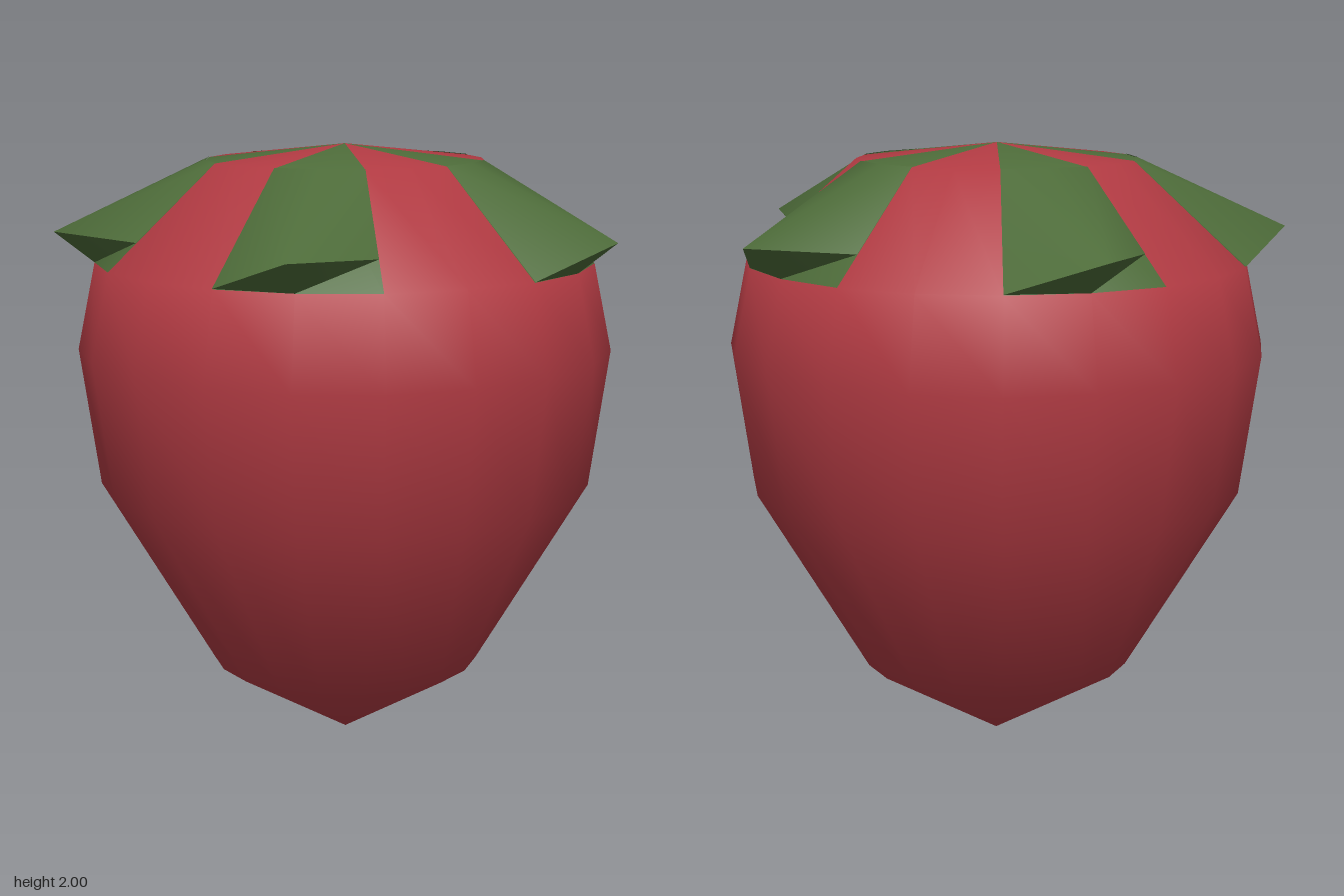
import * as THREE from 'three';

const SEG = 20;
const STEP = (Math.PI * 2) / SEG;

// Point on the fruit at ring radius r, height y and lathe angle a
const polar = (r, y, a) => [r * Math.sin(a), y, r * Math.cos(a)];

export function createModel() {
  const red = new THREE.MeshStandardMaterial({ color: 0xb03a42 });
  red.name = 'berryRed';
  const green = new THREE.MeshStandardMaterial({ color: 0x4d6b39, side: THREE.DoubleSide });
  green.name = 'leafGreen';

  const model = new THREE.Group();
  model.name = 'strawberry';

  // Berry body, bottom to top, with five green sectors on its cap
  const profile = [[0, 0], [0.45, 0.28], [0.81, 0.9], [0.87, 1.35], [0.81, 1.63], [0.45, 1.95], [0, 2]]
    .map(([r, y]) => new THREE.Vector2(r, y));
  const bodyGeo = new THREE.LatheGeometry(profile, SEG);
  const bands = profile.length - 1;
  for (let i = 0; i < SEG; i++) {
    const start = i * bands * 6;
    bodyGeo.addGroup(start, (bands - 2) * 6, 0);
    bodyGeo.addGroup(start + (bands - 2) * 6, 12, i % 4 < 2 ? 1 : 0);
  }
  const body = new THREE.Mesh(bodyGeo, [red, green]);
  body.name = 'berryBody';
  model.add(body);

  // Leaf tips lifted away from the cap, with a closed underside
  for (let k = 0; k < 5; k++) {
    const mid = (1 + 4 * k) * STEP;
    const a = mid + STEP;
    const b = mid - STEP;
    const innerMid = polar(0.45, 1.952, mid);
    const innerA = polar(0.45, 1.952, a);
    const innerB = polar(0.45, 1.952, b);
    const tip = polar(0.935, 1.73, mid);
    const cornerA = polar(0.716, 1.716, a);
    const cornerB = polar(0.812, 1.632, b);
    const root = polar(0.81, 1.63, mid);

    const geo = new THREE.BufferGeometry();
    const points = [innerMid, innerA, innerB, tip, cornerA, cornerB, tip, cornerA, cornerB, root];
    geo.setAttribute('position', new THREE.Float32BufferAttribute(points.flat(), 3));
    geo.setIndex([
      1, 0, 3, 1, 3, 4, 2, 5, 3, 2, 3, 0, // top
      8, 9, 6, 9, 7, 6, // underside
    ]);
    geo.computeVertexNormals();
    const leaf = new THREE.Mesh(geo, green);
    leaf.name = `leaf${k + 1}`;
    model.add(leaf);
  }

  // Centre the overall width, since one leaf points straight to +x
  model.position.x = -0.035;
  return model;
}
